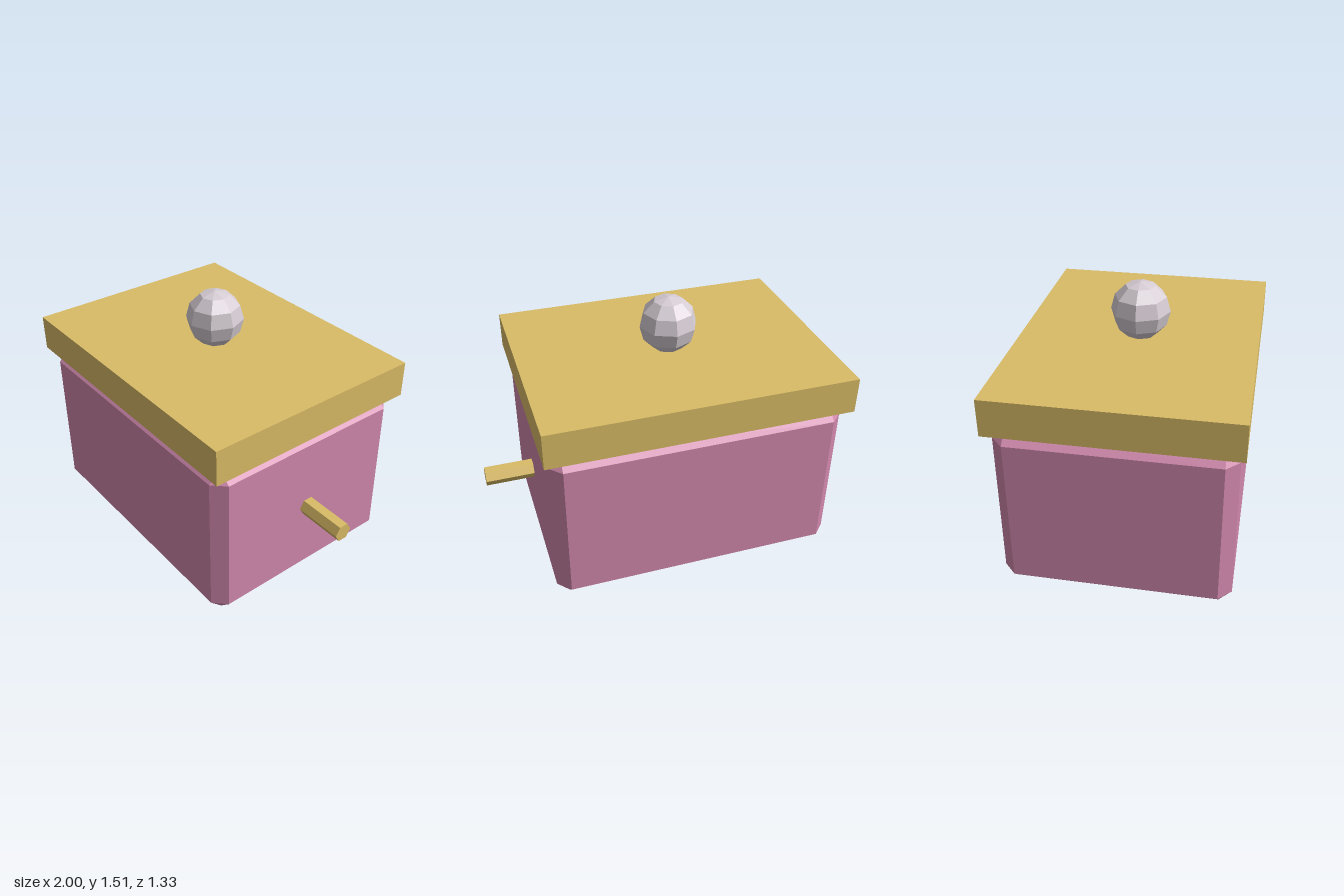
import * as THREE from 'three';
import { ConvexGeometry } from 'three/addons/geometries/ConvexGeometry.js';

// Box with flat bevels on every edge and triangular corners
function chamferedBox(w, h, d, c) {
  const points = [];
  for (const sx of [-1, 1]) for (const sy of [-1, 1]) for (const sz of [-1, 1]) {
    const x = w / 2, y = h / 2, z = d / 2;
    points.push(
      new THREE.Vector3(sx * x, sy * (y - c), sz * (z - c)),
      new THREE.Vector3(sx * (x - c), sy * y, sz * (z - c)),
      new THREE.Vector3(sx * (x - c), sy * (y - c), sz * z)
    );
  }
  return new ConvexGeometry(points);
}

export function createModel() {
  const group = new THREE.Group();
  const material = (name, color) => {
    const m = new THREE.MeshStandardMaterial({ color, flatShading: true });
    m.name = name;
    return m;
  };
  const pink = material('pink', 0xd088ac);
  const gold = material('gold', 0xdabc67);
  const silver = material('silver', 0xd6cdd4);

  const add = (name, geometry, mat, x, y, z) => {
    const mesh = new THREE.Mesh(geometry, mat);
    mesh.name = name;
    mesh.position.set(x, y, z);
    group.add(mesh);
    return mesh;
  };

  const cx = -0.128; // box axis, shifted by the protruding crank

  add('body', chamferedBox(1.686, 0.99, 1.27, 0.071), pink, cx, 0.495, 0);
  add('lid', new THREE.BoxGeometry(1.744, 0.21, 1.326), gold, cx, 1.094, 0);
  add('knob', new THREE.SphereGeometry(0.168, 8, 6), silver, cx, 1.341, 0);

  // Hexagonal crank rod, with corners towards front and back
  const crank = add('crank', new THREE.CylinderGeometry(0.055, 0.055, 0.3, 6), gold, 0.85, 0.495, 0);
  crank.rotation.z = Math.PI / 2;

  return group;
}
